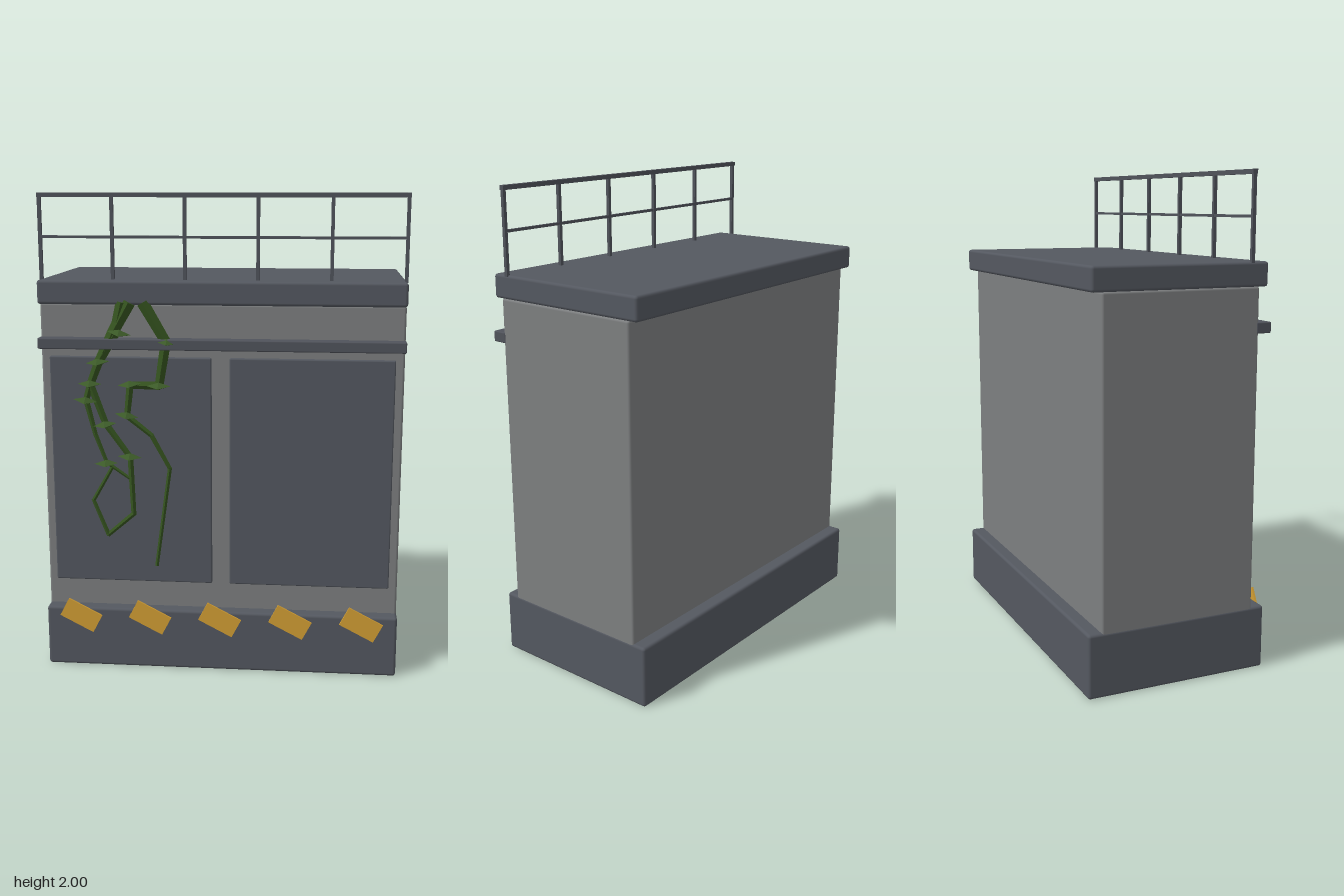
import * as THREE from 'three';
import { RoundedBoxGeometry } from 'three/addons/geometries/RoundedBoxGeometry.js';

const mat = (name, color, flatShading = false) => {
  const m = new THREE.MeshStandardMaterial({ color, flatShading });
  m.name = name;
  return m;
};

export function createModel() {
  const root = new THREE.Group();
  root.name = 'utilityBlock';
  const concrete = mat('concreteGrey', 0x7d7f80);
  const slate = mat('slateGrey', 0x545860);
  const steel = mat('steelGrey', 0x50535b);
  const yellow = mat('hazardYellow', 0xd39f34);
  const green = mat('vineGreen', 0x35541f, true);
  const leafGreen = mat('leafGreen', 0x3d5c29, true);

  const add = (parent, name, geo, material) => {
    const m = new THREE.Mesh(geo, material);
    m.name = name;
    parent.add(m);
    return m;
  };
  // Rounded box given by its extents on each axis
  const block = (parent, name, [x0, x1], [y0, y1], [z0, z1], r, material) => {
    const geo = new RoundedBoxGeometry(x1 - x0, y1 - y0, z1 - z0, 2, r);
    geo.translate((x0 + x1) / 2, (y0 + y1) / 2, (z0 + z1) / 2);
    return add(parent, name, geo, material);
  };

  // Main masses
  const W = 0.745;
  block(root, 'base', [-W, W], [0, 0.262], [-0.4, 0.375], 0.012, slate);
  block(root, 'body', [-W + 0.002, W - 0.002], [0.24, 1.56], [-0.343, 0.32], 0.01, concrete);
  block(root, 'roofSlab', [-W, W], [1.558, 1.655], [-0.385, 0.357], 0.012, slate);
  block(root, 'frontLedge', [-W, W], [1.378, 1.422], [0.31, 0.375], 0.005, steel);
  for (const s of [-1, 1]) {
    const x = s * 0.372;
    block(root, s < 0 ? 'rightPanel' : 'leftPanel', [x - 0.335, x + 0.335], [0.375, 1.343], [0.31, 0.335], 0.006, slate);
  }

  // Roof railing
  const railing = new THREE.Group();
  railing.name = 'railing';
  root.add(railing);
  const bar = (name, w, h, d, x, y) =>
    add(railing, name, new THREE.BoxGeometry(w, h, d), steel).position.set(x, y, 0.285);
  for (let i = 0; i < 6; i++) bar('railPost', 0.014, 0.345, 0.014, -0.74 + i * 0.296, 1.822);
  bar('topRail', 1.496, 0.018, 0.02, 0, 1.991);
  bar('middleRail', 1.48, 0.011, 0.011, 0, 1.825);

  // Slanted hazard plates along the base
  for (let i = -2; i <= 2; i++) {
    const plate = add(root, 'hazardPlate', new THREE.BoxGeometry(0.16, 0.086, 0.009), yellow);
    plate.position.set(i * 0.2975, 0.231, 0.3835);
    plate.rotation.z = -0.48;
  }

  // Hanging vines: tapered segments through [x, y] points
  const vines = new THREE.Group();
  vines.name = 'vines';
  root.add(vines);
  const up = new THREE.Vector3(0, 1, 0);
  const vine = (pts, r0, r1) => {
    const p = pts.map(([x, y]) => new THREE.Vector3(x, y, 0.345));
    const n = p.length - 1;
    for (let i = 0; i < n; i++) {
      const dir = p[i + 1].clone().sub(p[i]);
      const radius = (t) => r1 + (r0 - r1) * (1 - t / n) ** 1.5;
      const geo = new THREE.CylinderGeometry(radius(i), radius(i + 1), dir.length() + 0.008, 5);
      const m = add(vines, 'vineStem', geo, green);
      m.position.copy(p[i]).addScaledVector(dir, 0.5);
      m.quaternion.setFromUnitVectors(up, dir.normalize().negate());
    }
  };
  vine([[-0.37, 1.565], [-0.44, 1.44], [-0.5, 1.32], [-0.535, 1.23], [-0.555, 1.165], [-0.52, 1.02],
    [-0.475, 0.9], [-0.375, 0.83]], 0.028, 0.007);
  vine([[-0.4, 1.565], [-0.43, 1.44], [-0.5, 1.32], [-0.535, 1.23], [-0.475, 1.065], [-0.375, 0.925],
    [-0.365, 0.68], [-0.475, 0.585], [-0.535, 0.735], [-0.455, 0.875]], 0.024, 0.008);
  vine([[-0.31, 1.565], [-0.22, 1.41], [-0.25, 1.23], [-0.37, 1.23], [-0.385, 1.1], [-0.285, 1.02],
    [-0.21, 0.88], [-0.27, 0.455]], 0.026, 0.008);

  // Leaves: flattened diamonds that tilt outward
  const leafSpots = [[-0.41, 1.445], [-0.5, 1.325], [-0.535, 1.235], [-0.555, 1.165], [-0.475, 1.065],
    [-0.475, 0.9], [-0.375, 0.93], [-0.385, 1.105], [-0.37, 1.235], [-0.25, 1.23], [-0.215, 1.41]];
  leafSpots.forEach(([x, y], i) => {
    const leaf = add(vines, 'leaf', new THREE.OctahedronGeometry(1), leafGreen);
    leaf.scale.set(0.05, 0.016, 0.03);
    leaf.position.set(x, y, 0.365);
    leaf.rotation.set(0.3, 0, ((i * 5) % 7 - 3) * 0.06);
  });
  return root;
}
